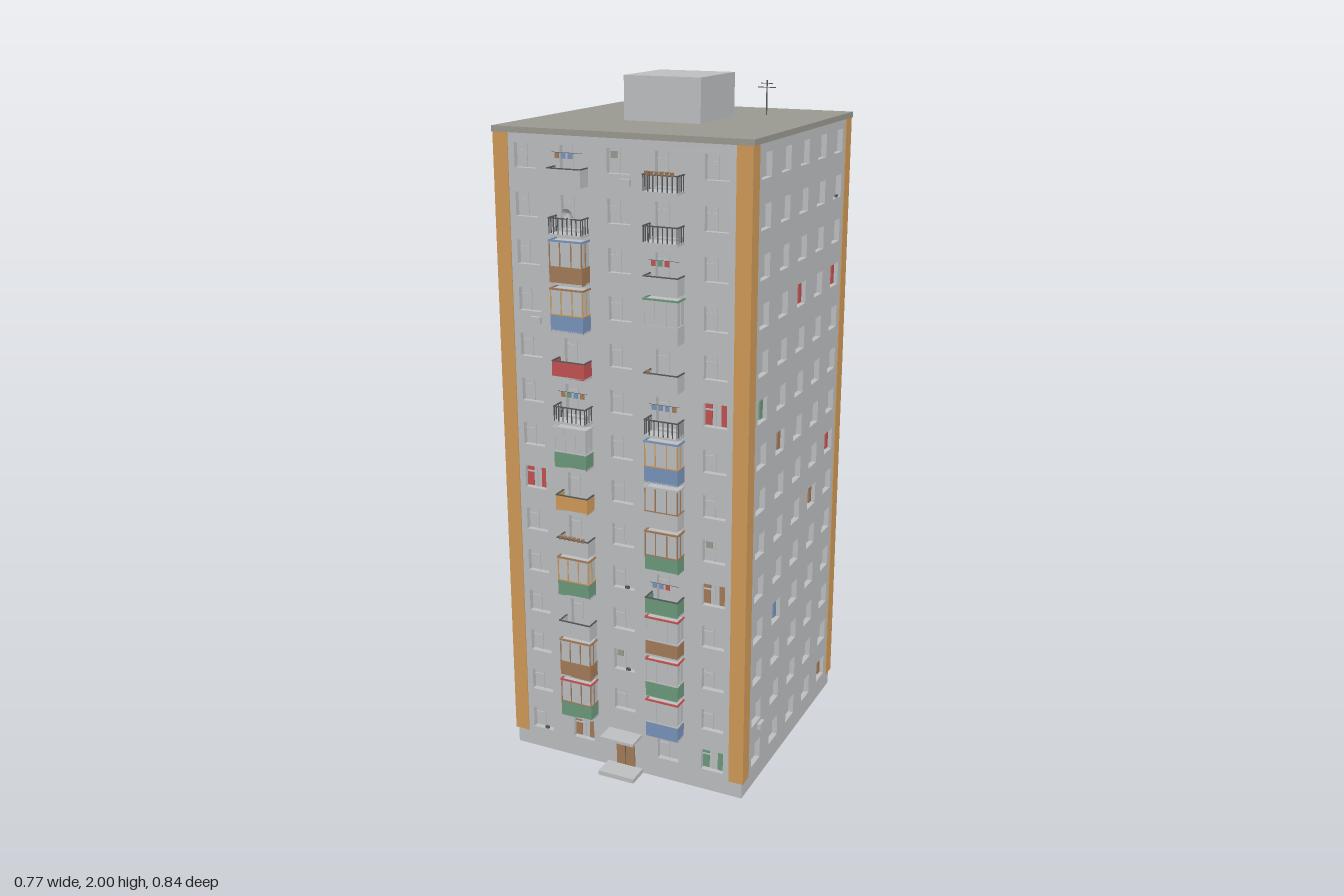
import * as THREE from 'three';

const material = (name, color) => {
  const m = new THREE.MeshStandardMaterial({ color, side: THREE.DoubleSide });
  m.name = name;
  return m;
};
const M = {
  wall: material('concrete grey', 0xbcbec0),
  roof: material('roof grey', 0x9a9890),
  orange: material('ochre', 0xcf9a58),
  green: material('green', 0x6c987c),
  blue: material('blue', 0x7893ba),
  brown: material('brown', 0xa27a58),
  red: material('red', 0xc25252),
  dark: material('dark metal', 0x55585a),
};

const HALF_X = 0.375, FRONT = 0.343, BACK = -0.415, MID_Z = (FRONT + BACK) / 2;
const HALF_Z = (FRONT - BACK) / 2, BASE = 0.05, TOP = 1.862;
const PITCH = 0.131, FLOORS = 14, COLUMN = 0.14, RECESS = 0.016;
const floorY = (k) => 0.1 + PITCH * k;        // middle of the windows
const balconyY = (k) => 0.029 + PITCH * k;    // underside of the balconies

function box(parent, name, mat, w, h, d, x, y, z) {
  const mesh = new THREE.Mesh(new THREE.BoxGeometry(w, h, d), mat);
  mesh.name = name;
  mesh.position.set(x, y, z);
  parent.add(mesh);
  return mesh;
}

function rectangle(Type, x0, y0, x1, y1) {
  const p = new Type();
  p.moveTo(x0, y0);
  p.lineTo(x1, y0);
  p.lineTo(x1, y1);
  p.lineTo(x0, y1);
  p.closePath();
  return p;
}

// One facade in local space: x along the wall, z outward, wall surface at z = 0
function facade(name, halfWidth, isFront) {
  const g = new THREE.Group();
  g.name = name;
  const shape = rectangle(THREE.Shape, -halfWidth, BASE, halfWidth, TOP);
  for (let k = 0; k < FLOORS; k++) {
    for (let c = -2; c <= 2; c++) {
      const x = c * COLUMN, y = floorY(k);
      if (isFront && c === 0 && k === 0) {
        shape.holes.push(rectangle(THREE.Path, -0.03, 0.055, 0.03, 0.112));
        continue;
      }
      const balcony = isFront && Math.abs(c) === 1 && k > 0;
      const low = balcony ? balconyY(k) + 0.012 : y - 0.033;
      shape.holes.push(rectangle(THREE.Path, x - 0.034, low, x + 0.034, y + 0.033));
      // window frame bars
      box(g, 'windowMullion', M.wall, 0.003, 0.066, 0.003, x - 0.003, y, -RECESS + 0.0015);
      box(g, 'windowTransom', M.wall, 0.03, 0.003, 0.003, x - 0.019, y + 0.012, -RECESS + 0.0015);
    }
  }
  const geometry = new THREE.ExtrudeGeometry(shape, { depth: RECESS + 0.002, bevelEnabled: false });
  const wall = new THREE.Mesh(geometry, M.wall);
  wall.name = 'wall';
  wall.position.z = -RECESS - 0.002;
  g.add(wall);
  return g;
}

function curtains(g, c, k, color) {
  const x = c * COLUMN, y = floorY(k), z = -RECESS + 0.002;
  box(g, 'curtainLeft', M[color], 0.02, 0.04, 0.004, x - 0.024, y - 0.01, z);
  box(g, 'curtainLeftTop', M[color], 0.02, 0.014, 0.004, x - 0.024, y + 0.023, z);
  box(g, 'curtainRight', M[color], 0.02, 0.062, 0.004, x + 0.023, y, z);
}

function airConditioner(g, x, y) {
  box(g, 'airConditioner', M.wall, 0.032, 0.018, 0.012, x, y, 0.005);
}

// Balcony in facade space: panel colour, optional glazing frame, extras
const BW = 0.1, BD = 0.044;
function balcony(front, side, k, { panel, frame, trim, laundry, pots }) {
  const g = new THREE.Group();
  g.name = 'balcony';
  g.position.set(side * COLUMN, balconyY(k), 0);
  front.add(g);
  const sides = [-1, 1];
  box(g, 'balconyFloor', M.wall, BW, 0.006, BD, 0, 0.003, BD / 2);
  if (panel === 'rails') {
    for (let i = 0; i <= 7; i++)
      box(g, 'railBar', M.dark, 0.0025, 0.042, 0.0025, -0.048 + i * 0.0137, 0.026, BD - 0.002);
    for (const s of sides) for (let i = 0; i < 3; i++)
      box(g, 'railBar', M.dark, 0.0025, 0.042, 0.0025, s * 0.048, 0.026, 0.004 + i * 0.0135);
  } else {
    box(g, 'frontPanel', M[panel], BW, 0.045, 0.004, 0, 0.0245, BD - 0.002);
    for (const s of sides)
      box(g, 'sidePanel', M[panel], 0.004, 0.045, BD - 0.004, s * (BW / 2 - 0.002), 0.0245, BD / 2 - 0.002);
  }
  // handrail
  const rail = panel === 'rails' || !frame ? M.dark : M[frame];
  box(g, 'handrail', rail, BW + 0.002, 0.003, 0.004, 0, 0.0485, BD - 0.002);
  for (const s of sides) box(g, 'handrail', rail, 0.004, 0.003, BD, s * 0.049, 0.0485, BD / 2);
  if (frame) {
    // closed glazing with posts and a lid
    box(g, 'frontGlazing', M.wall, BW - 0.002, 0.068, 0.002, 0, 0.084, BD - 0.003);
    for (const s of sides) {
      box(g, 'sideGlazing', M.wall, 0.002, 0.068, BD - 0.004, s * 0.047, 0.084, BD / 2 - 0.002);
      box(g, 'sidePost', M[frame], 0.003, 0.068, 0.003, s * 0.0485, 0.084, BD / 2);
    }
    for (const x of [-0.0485, -0.017, 0.017, 0.0485])
      box(g, 'glazingPost', M[frame], 0.003, 0.068, 0.003, x, 0.084, BD - 0.0015);
    box(g, 'balconyLid', M.wall, BW, 0.004, BD, 0, 0.116, BD / 2);
    box(g, 'lidTrim', M[trim || frame], BW + 0.003, 0.005, 0.004, 0, 0.119, BD - 0.001);
    for (const s of sides) box(g, 'lidTrim', M[trim || frame], 0.004, 0.005, BD, s * 0.05, 0.119, BD / 2);
  }
  if (laundry) {
    box(g, 'washingLine', M.dark, 0.09, 0.001, 0.001, 0, 0.088, 0.022);
    laundry.forEach((color, i) =>
      box(g, 'laundry', M[color], 0.013, 0.015, 0.002, -0.03 + i * 0.02, 0.08, 0.022));
  }
  for (let i = 0; i < (pots || 0); i++) {
    const pot = new THREE.Mesh(new THREE.CylinderGeometry(0.006, 0.004, 0.011, 8), M.brown);
    pot.name = 'flowerPot';
    pot.position.set(-0.036 + i * 0.0144, 0.053, BD + 0.003);
    g.add(pot);
  }
}

export function createModel() {
  const model = new THREE.Group();
  model.name = 'apartmentTower';

  // Core, plinth, corner strips and roof
  const inset = RECESS * 2;
  box(model, 'core', M.wall, HALF_X * 2 - inset, TOP - 0.02, HALF_Z * 2 - inset, 0, TOP / 2, MID_Z);
  box(model, 'plinth', M.wall, HALF_X * 2 - 0.006, BASE, HALF_Z * 2 - 0.006, 0, BASE / 2, MID_Z);
  for (const sx of [-1, 1]) for (const sz of [-1, 1])
    box(model, 'cornerStrip', M.orange, 0.045, TOP - BASE, 0.045,
      sx * (HALF_X - 0.0195), (TOP + BASE) / 2, MID_Z + sz * (HALF_Z - 0.0195));
  box(model, 'roofSlab', M.roof, 0.762, 0.016, 0.766, 0, TOP + 0.008, MID_Z);
  box(model, 'liftHouse', M.wall, 0.232, 0.124, 0.234, -0.001, 1.938, -0.037);
  for (const x of [-0.19, 0.185]) {
    box(model, 'antennaMast', M.dark, 0.003, 0.1, 0.003, x, 1.925, -0.225);
    box(model, 'antennaBar', M.dark, 0.055, 0.002, 0.002, x, 1.955, -0.225);
    box(model, 'antennaBar', M.dark, 0.036, 0.002, 0.002, x, 1.966, -0.225);
  }

  // Four facades
  const front = facade('frontFacade', HALF_X, true);
  front.position.z = FRONT;
  const back = facade('backFacade', HALF_X, false);
  back.position.z = BACK;
  back.rotation.y = Math.PI;
  const right = facade('eastFacade', HALF_Z - 0.019, false);
  right.position.set(HALF_X, 0, MID_Z);
  right.rotation.y = Math.PI / 2;
  const left = facade('westFacade', HALF_Z - 0.019, false);
  left.position.set(-HALF_X, 0, MID_Z);
  left.rotation.y = -Math.PI / 2;
  model.add(front, back, right, left);

  // Curtains and open vents: [column, floor, colour]
  const drapes = [
    [front, [[2, 0, 'green'], [-1, 0, 'brown'], [2, 4, 'brown'], [-2, 6, 'red'], [2, 8, 'red']]],
    [right, [[0, 10, 'red'], [2, 10, 'red'], [2, 6, 'red'], [-2, 8, 'green'], [-1, 7, 'brown'],
      [1, 5, 'brown'], [2, 0, 'brown'], [-1, 3, 'blue']]],
    [back, [[-2, 9, 'blue'], [-2, 6, 'blue'], [-1, 2, 'brown'], [0, 0, 'brown'], [1, 5, 'brown'],
      [2, 8, 'green'], [2, 4, 'red']]],
    [left, [[-2, 13, 'blue'], [-2, 3, 'blue'], [0, 8, 'blue'], [1, 9, 'blue'], [-2, 11, 'brown'], [2, 8, 'red']]],
  ];
  for (const [g, list] of drapes) for (const [c, k, color] of list) curtains(g, c, k, color);
  const vents = [[front, [[0, 13], [2, 5], [0, 2]]],
    [right, [[-2, 12], [-1, 10], [1, 11], [2, 12], [2, 7], [2, 2]]]];
  for (const [g, list] of vents) for (const [c, k] of list)
    box(g, 'openVent', M.roof, 0.02, 0.018, 0.003, c * COLUMN - 0.019, floorY(k) + 0.015, -RECESS + 0.003);

  // Air conditioners and small birds on the sills
  for (const [g, x, y] of [[front, -0.26, 1.355], [front, 0.02, 1.75], [right, -0.256, 0.18],
    [back, 0.302, 0.18], [left, -0.259, 0.05], [left, 0.161, 1.49], [left, 0.301, 1.62]]) airConditioner(g, x, y);
  for (const [g, x, y] of [[front, -0.27, 0.072], [front, 0.01, 0.334], [front, 0.01, 0.596], [right, 0.285, 1.644]])
    box(g, 'bird', M.dark, 0.012, 0.008, 0.006, x, y, -0.004);

  // Balconies from the first floor up, one list per column
  const leftColumn = [
    { panel: 'green', frame: 'brown', trim: 'red' }, { panel: 'brown', frame: 'brown' }, { panel: 'wall' },
    { panel: 'green', frame: 'orange', trim: 'brown' }, { panel: 'wall', pots: 6 }, { panel: 'orange' },
    { panel: 'green', frame: 'wall' }, { panel: 'rails', laundry: ['brown', 'green', 'blue', 'brown'] },
    { panel: 'red' }, { panel: 'blue', frame: 'orange', trim: 'brown' },
    { panel: 'brown', frame: 'brown', trim: 'blue' }, { panel: 'rails' },
    { panel: 'wall', laundry: ['brown', 'blue', 'blue'] }];
  const rightColumn = [
    { panel: 'blue', frame: 'wall', trim: 'red' }, { panel: 'green', frame: 'wall', trim: 'red' },
    { panel: 'brown', frame: 'wall', trim: 'red' }, { panel: 'green', laundry: ['blue', 'blue', 'red'] },
    { panel: 'green', frame: 'brown' }, { panel: 'wall', frame: 'brown', trim: 'wall' },
    { panel: 'blue', frame: 'orange', trim: 'blue' }, { panel: 'rails', laundry: ['blue', 'blue', 'blue', 'brown'] },
    { panel: 'wall', pots: 1 }, { panel: 'wall', frame: 'wall', trim: 'green' },
    { panel: 'wall', laundry: ['red', 'green', 'red'] }, { panel: 'rails' }, { panel: 'rails', pots: 6 }];
  leftColumn.forEach((b, i) => balcony(front, -1, i + 1, b));
  rightColumn.forEach((b, i) => balcony(front, 1, i + 1, b));

  // Satellite dish
  const dish = new THREE.Mesh(new THREE.ConeGeometry(0.016, 0.008, 16, 1, true), M.wall);
  dish.name = 'satelliteDish';
  dish.position.set(-0.12, 1.668, 0.404);
  dish.rotation.x = -Math.PI / 2 + 0.3;
  model.add(dish);
  box(model, 'dishArm', M.dark, 0.003, 0.003, 0.03, -0.12, 1.655, 0.395);

  // Entrance
  box(model, 'doorstep', M.wall, 0.115, 0.014, 0.064, -0.002, 0.007, 0.373);
  box(model, 'door', M.brown, 0.06, 0.094, 0.006, 0, 0.062, FRONT - 0.002);
  box(model, 'doorGap', M.dark, 0.002, 0.09, 0.002, 0, 0.062, FRONT + 0.001);
  box(model, 'canopy', M.wall, 0.108, 0.009, 0.062, 0, 0.125, 0.373);
  return model;
}
